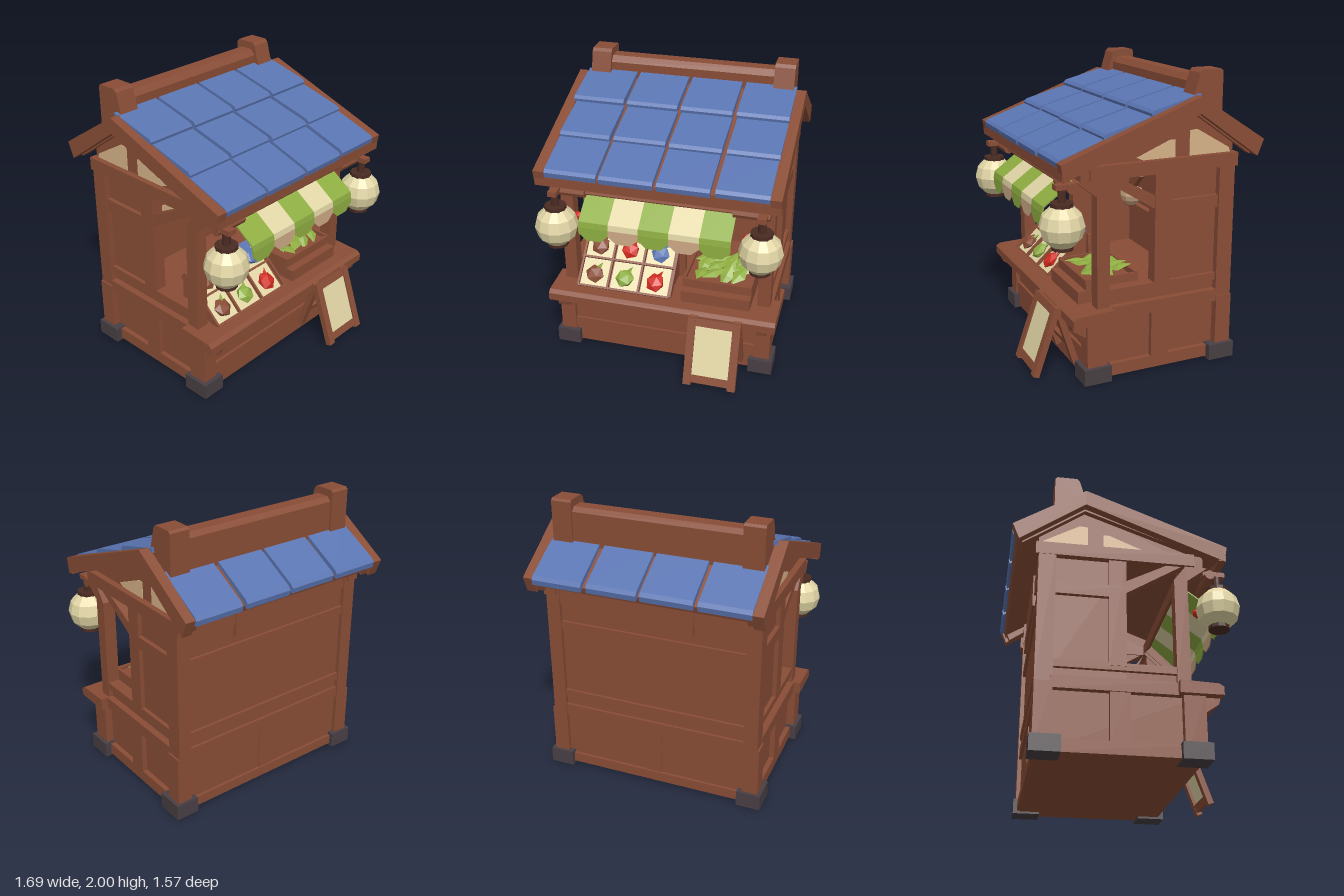
import * as THREE from 'three';

const mat = (name, color) => {
  const m = new THREE.MeshStandardMaterial({ color, flatShading: true, side: THREE.DoubleSide });
  m.name = name;
  return m;
};
const wood = mat('wood', 0x894d36), darkWood = mat('dark wood', 0x4a2b22), stone = mat('stone', 0x483f43),
  blue = mat('blue', 0x5a75b2), cream = mat('cream', 0xe2d6a6), green = mat('green', 0x8fae42),
  tan = mat('tan', 0xcfaa86), plaster = mat('plaster', 0xd6b388), red = mat('red', 0xcf2a20);

export function createModel() {
  const root = new THREE.Group();
  root.name = 'marketStall';

  let seed = 7;
  const rnd = () => ((seed = (seed * 16807) % 2147483647) / 2147483647) - 0.5;

  const add = (name, geo, m, parent = root) => {
    const mesh = new THREE.Mesh(geo, m);
    mesh.name = name;
    parent.add(mesh);
    return mesh;
  };
  // Box given by its limits
  const box = (name, m, x0, x1, y0, y1, z0, z1, parent = root) => {
    const b = add(name, new THREE.BoxGeometry(x1 - x0, y1 - y0, Math.abs(z1 - z0)), m, parent);
    b.position.set((x0 + x1) / 2, (y0 + y1) / 2, (z0 + z1) / 2);
    return b;
  };
  // Side outline of [z, y] points, extruded from x0 to x1
  const side = (name, m, x0, x1, pts, parent = root) => {
    const shape = new THREE.Shape(pts.map(([z, y]) => new THREE.Vector2(z, y)));
    const e = add(name, new THREE.ExtrudeGeometry(shape, { depth: x1 - x0, bevelEnabled: false }), m, parent);
    e.rotation.y = -Math.PI / 2;
    e.position.x = x1;
    return e;
  };
  // The same parts on both ends of the stall
  const boxes = (name, m, x0, x1, ...r) => { box(name, m, x0, x1, ...r); box(name, m, -x1, -x0, ...r); };
  const sides = (name, m, x0, x1, pts) => { side(name, m, x0, x1, pts); side(name, m, -x1, -x0, pts); };

  // Base and counter
  box('base', wood, -0.72, 0.72, 0.015, 0.43, -0.57, 0.44);
  box('frontBottomRail', wood, -0.7, 0.7, 0.015, 0.205, 0.42, 0.46);
  boxes('frontCorner', wood, 0.665, 0.775, 0.015, 0.43, 0.33, 0.47);
  boxes('frontPeg', darkWood, 0.692, 0.748, 0.325, 0.38, 0.468, 0.476);
  for (const z of [-0.62, 0.308]) boxes('foot', stone, 0.63, 0.8, 0, 0.11, z, z + 0.192);
  const counter = [[0.58, 0.42], [0.58, 0.475], [0.55, 0.495], [0.3, 0.505], [0.3, 0.42]];
  side('counter', wood, -0.815, 0.815, counter);
  box('counterTop', wood, -0.7, 0.7, 0.42, 0.5, -0.02, 0.32);
  sides('counterBracket', wood, 0.69, 0.75, [[0.46, 0.42], [0.57, 0.42], [0.56, 0.38], [0.46, 0.31]]);

  // Side walls: recessed panels with rails and stiles
  boxes('sideWall', wood, 0.66, 0.718, 0.43, 1.38, -0.57, -0.02);
  boxes('lowSideWall', wood, 0.66, 0.718, 0.43, 0.62, -0.02, 0.32);
  boxes('sideBottomRail', wood, 0.7, 0.755, 0.015, 0.1, -0.5, 0.4);
  boxes('sideMiddleRail', wood, 0.7, 0.765, 0.42, 0.505, -0.5, 0.32);
  boxes('sideSillRail', wood, 0.68, 0.745, 0.57, 0.62, -0.5, 0.3);
  boxes('sideUpperRail', wood, 0.7, 0.748, 1.085, 1.17, -0.5, -0.02);
  boxes('lowerStile', wood, 0.7, 0.755, 0.1, 0.43, -0.13, 0);
  boxes('upperStile', wood, 0.66, 0.748, 0.6, 1.38, -0.135, -0.02);
  boxes('lowerBackPost', wood, 0.665, 0.775, 0.015, 0.46, -0.6, -0.485);
  boxes('backPost', wood, 0.665, 0.762, 0.46, 1.4, -0.6, -0.485);
  sides('sideBrace', wood, 0.67, 0.74, [[0.37, 1.37], [0.27, 1.37], [-0.03, 1.21], [-0.03, 1.12]]);
  sides('frontPost', wood, 0.66, 0.75, [[0.3, 0.49], [0.39, 0.49], [0.39, 1.25], [0.53, 1.36], [0.38, 1.36], [0.3, 1.25]]);

  // Back wall and its rails
  box('backWall', wood, -0.7, 0.7, 0.4, 1.36, -0.57, -0.52);
  for (const [y0, y1] of [[0.02, 0.09], [0.42, 0.5], [0.57, 0.62], [1.1, 1.16], [1.3, 1.42]])
    box('backRail', wood, -0.7, 0.7, y0, y1, -0.59, -0.54);
  box('backStile', wood, -0.06, 0.06, 0.05, 0.45, -0.578, -0.54);
  box('backPlate', wood, -0.3, 0.3, 1.22, 1.46, -0.6, -0.54);

  // Inside of the stall
  box('insideRail', wood, -0.66, 0.66, 0.74, 0.785, -0.52, -0.47);
  for (const s of [-1, 1]) {
    const brace = box('insideBrace', wood, -0.17, 0.17, -0.035, 0.035, -0.52, -0.48);
    brace.position.set(s * 0.55, 0.93, -0.5);
    brace.rotation.z = -s * 0.75;
  }
  box('wallNotice', tan, -0.26, 0, 0.785, 0.895, -0.52, -0.512);
  const bowl = [[0.04, 0], [0.075, 0.04], [0.09, 0.08], [0.09, 0.135], [0.075, 0.135], [0.03, 0.02]];
  add('bowl', new THREE.LatheGeometry(bowl.map(p => new THREE.Vector2(...p)), 10), tan).position.set(-0.49, 0.784, -0.45);

  // Gables
  sides('gableWall', wood, 0.66, 0.72, [[0.5, 1.36], [0.5, 1.46], [-0.3, 1.76], [-0.6, 1.58], [-0.6, 1.36]]);
  boxes('gableBeam', wood, 0.68, 0.765, 1.36, 1.45, -0.62, 0.44);
  sides('gablePanel', plaster, 0.718, 0.725, [[0.105, 1.47], [0.06, 1.45], [-0.17, 1.45], [-0.17, 1.565], [-0.13, 1.565]]);
  sides('gablePanel', plaster, 0.718, 0.725, [[-0.275, 1.45], [-0.275, 1.615], [-0.33, 1.62], [-0.57, 1.48], [-0.58, 1.45]]);
  sides('innerBarge', wood, 0.7, 0.76, [[0.62, 1.4], [0.62, 1.45], [-0.3, 1.78], [-0.74, 1.5], [-0.71, 1.43], [-0.3, 1.72]]);
  sides('bargeBoard', wood, 0.745, 0.818, [[0.635, 1.385], [0.655, 1.495], [-0.3, 1.845], [-0.78, 1.535],
    [-0.735, 1.425], [-0.3, 1.735]]);

  // Roof deck and beams
  side('roofDeck', wood, -0.76, 0.76, [[0.64, 1.43], [0.64, 1.47], [-0.3, 1.815], [-0.76, 1.52],
    [-0.74, 1.47], [-0.3, 1.75]]);
  box('eaveBoard', wood, -0.815, 0.815, 1.388, 1.46, 0.595, 0.645);
  box('frontBeam', wood, -0.75, 0.75, 1.355, 1.445, 0.38, 0.5);
  side('ridgeBeam', wood, -0.62, 0.62, [[-0.335, 1.8], [-0.335, 1.91], [-0.37, 1.95], [-0.46, 1.95],
    [-0.49, 1.92], [-0.49, 1.69]]);
  sides('ridgeBlock', wood, 0.588, 0.73, [[-0.295, 1.8], [-0.295, 1.84], [-0.335, 1.98], [-0.355, 2],
    [-0.49, 2], [-0.505, 1.985], [-0.505, 1.69]]);

  // Roof tiles: three stepped rows in front, one behind
  const frontY = z => 1.84 - 0.358 * (z + 0.3), backY = z => 1.84 + 0.646 * (z + 0.3);
  const rows = [[-0.335, 0.015, 0.03, frontY], [0.0, 0.345, 0.025, frontY], [0.33, 0.652, 0.0, frontY],
    [-0.46, -0.785, 0.015, backY]];
  for (const [z0, z1, lift, f] of rows)
    for (let i = 0; i < 4; i++) {
      const x = -0.57 + i * 0.381 + rnd() * 0.012, w = 0.176 + rnd() * 0.008, e = z1 + rnd() * 0.01;
      const lean = z1 > z0 ? 1 : -1;
      side('roofTile', blue, x - w, x + w, [[z0, f(z0) - 0.035], [z0, f(z0)], [e - 0.02 * lean, f(e - 0.02 * lean) + lift + 0.004],
        [e, f(e) + lift - 0.008], [e - 0.008 * lean, f(e) + lift - 0.045]]);
    }

  // Striped awning with scalloped edge
  for (let i = 0; i < 5; i++) {
    const x0 = -0.52 + i * 0.206, x1 = x0 + 0.206, m = i % 2 ? cream : green;
    side('awningStripe', m, x0, x1, [[0.4, 1.335], [0.4, 1.345], [0.66, 1.16], [0.668, 1.11], [0.66, 1.11], [0.652, 1.152]]);
    const flap = new THREE.Shape([[x0, 1.12], [x0, 1.075], [x0 + 0.055, 1.025], [x1 - 0.055, 1.025], [x1, 1.075], [x1, 1.12]]
      .map(p => new THREE.Vector2(...p)));
    add('awningFlap', new THREE.ExtrudeGeometry(flap, { depth: 0.008, bevelEnabled: false }), i % 2 ? tan : green).position.z = 0.66;
  }
  const rod = (name, r, x0, x1) => {
    const c = add(name, new THREE.CylinderGeometry(r, r, x1 - x0, 8), wood);
    c.rotation.z = Math.PI / 2;
    c.position.set((x0 + x1) / 2, 1.32, 0.55);
  };
  rod('awningRod', 0.012, -0.55, 0.55);
  rod('awningRodEnd', 0.035, -0.74, -0.5);
  rod('awningRodEnd', 0.035, 0.5, 0.74);

  // Lanterns
  for (const s of [-1, 1]) {
    const lantern = new THREE.Group();
    lantern.name = 'lantern';
    lantern.position.set(s * 0.698, 1.08, 0.605);
    root.add(lantern);
    add('lanternShade', new THREE.SphereGeometry(0.148, 12, 6), cream, lantern);
    for (const [name, r, h, y, m] of [['lanternCap', 0.075, 0.035, 0.135, darkWood], ['lanternBase', 0.072, 0.035, -0.135, darkWood],
      ['lanternStem', 0.027, 0.12, 0.2, darkWood]])
      add(name, new THREE.CylinderGeometry(r, r, h, 10), m, lantern).position.y = y;
    box('lanternArm', wood, -0.03, 0.03, 0.235, 0.27, -0.1, 0.05, lantern);
    add('lanternBead', new THREE.IcosahedronGeometry(0.034, 0), red, lantern).position.set(-s * 0.11, 0.02, -0.115);
  }

  // Sloping produce display, two rows of three bins with one large item each
  const display = new THREE.Group();
  display.name = 'produceDisplay';
  display.position.set(-0.295, 0.505, 0.46);
  display.rotation.x = -0.82;
  root.add(display);
  box('displayBoard', wood, -0.34, 0.34, 0, 0.42, -0.06, -0.02, display);
  for (const y of [-0.01, 0.205]) box('displayRail', wood, -0.34, 0.34, y, y + 0.015, -0.04, 0.015, display);
  for (const x of [-0.345, -0.128, 0.1, 0.335]) box('displayDivider', wood, x, x + 0.015, 0, 0.42, -0.04, 0.012, display);
  [wood, green, red, wood, red, blue].forEach((m, i) => {
    const x = -0.23 + (i % 3) * 0.225, y = 0.105 + Math.floor(i / 3) * 0.212;
    box('binLining', cream, x - 0.1, x + 0.1, y - 0.1, y + 0.1, -0.02, -0.008, display);
    if (i > 2) box('binTopCard', i === 5 ? blue : tan, x - 0.1, x + 0.1, y + 0.045, y + 0.1, -0.01, -0.003, display);
    const p = add('produce', new THREE.IcosahedronGeometry(0.07, 0), m, display);
    p.scale.z = 0.5;
    p.position.set(x, y - 0.015, 0.008);
    p.rotation.z = rnd() * 2;
    const leaf = add('produceLeaf', new THREE.ConeGeometry(0.022, 0.06, 4), i === 0 || i === 1 ? green : m, display);
    leaf.position.set(x + 0.03, y + 0.05, 0.01);
    leaf.rotation.z = -0.5;
  });
  side('displaySupport', wood, -0.63, 0.04, [[0.45, 0.5], [0.16, 0.76], [0.13, 0.76], [0.13, 0.5]]);
  box('displayPost', wood, 0.045, 0.09, 0.5, 0.78, 0.12, 0.17);

  // Vegetable crate
  box('crateStep', wood, 0.13, 0.62, 0.5, 0.585, 0.3, 0.47);
  box('crateBottom', wood, 0.13, 0.62, 0.5, 0.63, 0.06, 0.4);
  box('crateFront', wood, 0.13, 0.62, 0.59, 0.655, 0.39, 0.415);
  box('crateBack', wood, 0.13, 0.62, 0.59, 0.67, 0.04, 0.065);
  for (const x of [0.13, 0.6]) box('crateEnd', wood, x, x + 0.02, 0.59, 0.66, 0.05, 0.41);
  for (let i = 0; i < 12; i++) {
    const v = add('leafyVegetable', new THREE.OctahedronGeometry(1), green);
    v.scale.set(0.095, 0.014, 0.05);
    v.position.set(0.245 + (i % 4) * 0.09, 0.672 + rnd() * 0.02, 0.13 + Math.floor(i / 4) * 0.095);
    v.rotation.set(0.35 + rnd() * 0.5, 0.7 + rnd() * 1.4, rnd() * 0.6);
  }

  // Folding menu board
  const leaf = (name, z, tilt) => {
    const g = new THREE.Group();
    g.name = name;
    g.position.set(0.407, 0.48, z);
    g.rotation.x = tilt;
    root.add(g);
    return g;
  };
  const front = leaf('menuBoardFront', 0.6, -0.335), rear = leaf('menuBoardRear', 0.6, 0.3);
  for (const [g, len] of [[front, 0.485], [rear, 0.42]])
    for (const x of [-0.183, 0.13]) box('boardLeg', wood, x, x + 0.055, -len, 0, -0.02, 0.022, g);
  box('boardTopRail', wood, -0.13, 0.13, -0.055, 0, -0.018, 0.018, front);
  box('boardBottomRail', wood, -0.13, 0.13, -0.465, -0.41, -0.018, 0.018, front);
  box('boardSheet', cream, -0.13, 0.13, -0.412, -0.053, 0.002, 0.011, front);
  box('rearRail', wood, -0.13, 0.13, -0.3, -0.26, -0.015, 0.015, rear);

  return root;
}
